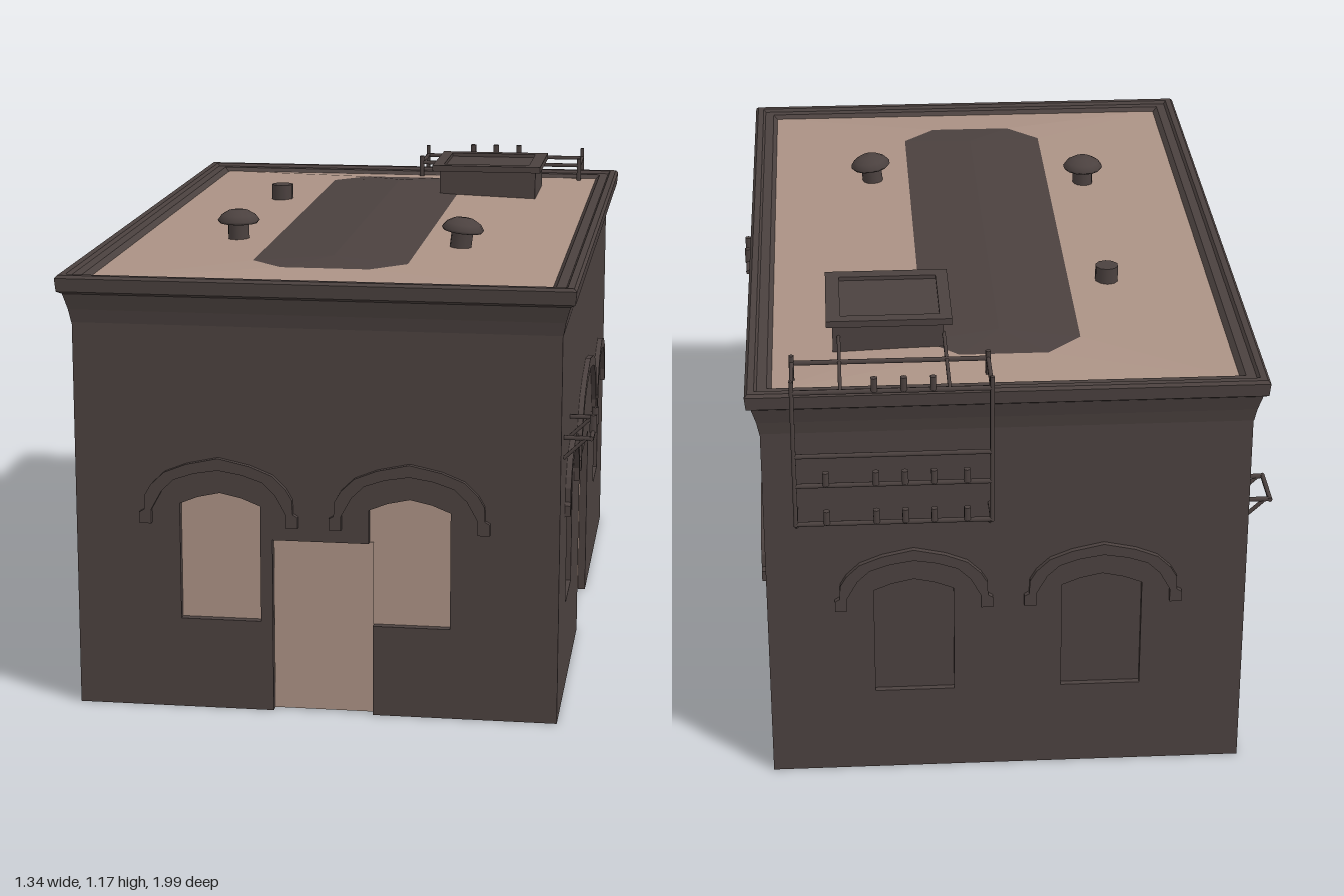
import * as THREE from 'three';

const dark = new THREE.MeshStandardMaterial({ color: 0x4b413f });
dark.name = 'darkMasonry';
const tan = new THREE.MeshStandardMaterial({ color: 0xab9285 });
tan.name = 'tanPlaster';

const X0 = -0.6, X1 = 0.595, Z0 = -0.91, Z1 = 0.96, T = 0.02, WALL_H = 0.98;

function add(parent, name, geo, mat, x = 0, y = 0, z = 0) {
  const m = new THREE.Mesh(geo, mat);
  m.name = name;
  m.position.set(x, y, z);
  parent.add(m);
  return m;
}

function box(parent, name, mat, x0, x1, y0, y1, z0, z1) {
  return add(parent, name, new THREE.BoxGeometry(x1 - x0, y1 - y0, z1 - z0), mat,
    (x0 + x1) / 2, (y0 + y1) / 2, (z0 + z1) / 2);
}

// Thin rod between two points
function rod(parent, name, a, b, r = 0.006) {
  const p = new THREE.Vector3(...a), q = new THREE.Vector3(...b), d = q.clone().sub(p);
  const m = add(parent, name, new THREE.CylinderGeometry(r, r, d.length(), 6), dark);
  m.position.copy(p).add(q).multiplyScalar(0.5);
  m.quaternion.setFromUnitVectors(new THREE.Vector3(0, 1, 0), d.normalize());
}

// Faceted skin joining closed rings of points
function loft(rings) {
  const pos = [];
  for (let i = 0; i + 1 < rings.length; i++) {
    const a = rings[i], b = rings[i + 1], n = a.length;
    for (let j = 0; j < n; j++) {
      const k = (j + 1) % n;
      pos.push(...a[j], ...a[k], ...b[k], ...a[j], ...b[k], ...b[j]);
    }
  }
  const g = new THREE.BufferGeometry();
  g.setAttribute('position', new THREE.Float32BufferAttribute(pos, 3));
  g.computeVertexNormals();
  return g;
}

// Rectangle with clipped corners; clip 0 gives a plain rectangle
const ring = (x0, x1, z0, z1, y, c = 0) => [
  [x1 - c, y, z1], [x1, y, z1 - c], [x1, y, z0 + c], [x1 - c, y, z0],
  [x0 + c, y, z0], [x0, y, z0 + c], [x0, y, z1 - c], [x0 + c, y, z1]];

const toShape = pts => new THREE.Shape(pts.map(p => new THREE.Vector2(...p)));
const extrude = (shape, depth) => new THREE.ExtrudeGeometry(shape, { depth, bevelEnabled: false });

const windowPoints = (x, w) => [[x - w, 0.23], [x + w, 0.23], [x + w, 0.525],
  [x + w * 0.55, 0.543], [x, 0.555], [x - w * 0.55, 0.543], [x - w, 0.525]];

// Hood moulding over an opening, with small outward feet
function archShape(w, base, top) {
  const h = top - base, t = 0.03;
  const curve = [[0.93, 0.42], [0.85, 0.58], [0.68, 0.77], [0.4, 0.9]];
  const outer = [[w, base], [w, base + 0.028], [w - 0.012, base + 0.035],
    ...curve.map(([u, v]) => [u * w, base + v * h])];
  const inner = [[w - 0.03, base], [w - 0.03, base + 0.035],
    ...curve.map(([u, v]) => [u * w - t * (0.4 + 0.6 * u), base + v * h - t * (1 - 0.6 * u)])];
  const flip = p => [-p[0], p[1]];
  return toShape([...outer, [0, top], ...outer.map(flip).reverse(),
    ...inner.map(flip), [0, top - t], ...inner.slice().reverse()]);
}

// One wall: local x runs along it, local z points outwards
function wall(parent, o) {
  const g = new THREE.Group();
  g.name = o.name;
  g.position.set(...o.at);
  g.rotation.y = o.turn;
  const s = toShape([[o.x0, 0], ...(o.notch || []), [o.x1, 0], [o.x1, WALL_H], [o.x0, WALL_H]]);
  for (const [x, w] of o.holes) s.holes.push(new THREE.Path(windowPoints(x, w).map(p => new THREE.Vector2(...p))));
  add(g, 'wallPanel', extrude(s, T), dark, 0, 0, -T);
  for (const [x, w, base, top] of o.arches) add(g, 'archMoulding', extrude(archShape(w, base, top), 0.014), dark, x);
  if (o.blind) for (const [x, w] of o.holes)
    add(g, 'blindWindow', extrude(toShape(windowPoints(x, w)), 0.005), dark, 0, 0, -T);
  parent.add(g);
  return g;
}

function vent(parent, x, z, tilt) {
  const g = new THREE.Group();
  g.name = 'roofVent';
  g.position.set(x, 1.08, z);
  g.rotation.z = tilt;
  const profile = [[0, 0.045], [0.05, 0.045], [0.055, 0.052], [0.045, 0.066], [0.026, 0.077], [0, 0.08]];
  add(g, 'ventStem', new THREE.CylinderGeometry(0.028, 0.028, 0.06, 12), dark, 0, 0.022, 0);
  add(g, 'ventCap', new THREE.LatheGeometry(profile.map(p => new THREE.Vector2(...p)), 14), dark);
  parent.add(g);
}

export function createModel() {
  const model = new THREE.Group();
  model.name = 'building';

  // Plaster core, seen through the openings and from below
  box(model, 'core', tan, X0 + T, X1 - T, 0.003, 1.05, Z0 + T, Z1 - T);

  // Front and back walls
  const endArches = s => [-0.242, 0.23].map(x => [s * x, 0.197, 0.475, 0.645]);
  const front = wall(model, {
    name: 'frontWall', at: [0, 0, Z1], turn: 0, x0: X0, x1: X1, holes: [[-0.24, 0.1]], arches: endArches(1),
    notch: [[-0.11, 0], [-0.11, 0.44], [0.13, 0.44], [0.13, 0.525], [0.175, 0.543], [0.23, 0.555],
      [0.285, 0.543], [0.33, 0.525], [0.33, 0.23], [0.14, 0.23], [0.14, 0]],
  });
  box(front, 'frontDoor', tan, -0.109, 0.14, 0.003, 0.44, -T, -T + 0.004);
  wall(model, {
    name: 'backWall', at: [0, 0, Z0], turn: Math.PI, x0: -X1, x1: -X0,
    holes: [[0.24, 0.1], [-0.23, 0.1]], arches: endArches(-1), blind: true,
  });

  // Long side walls
  for (const [name, x, s] of [['leftWall', X1, -1], ['rightWall', X0, 1]]) {
    const ends = [s * (Z0 + T), s * (Z1 - T)].sort((a, b) => a - b);
    const door = [s * -0.155, s * 0.21].sort((a, b) => a - b);
    wall(model, {
      name, at: [x, 0, 0], turn: -s * Math.PI / 2, x0: ends[0], x1: ends[1],
      notch: [[door[0], 0], [door[0], 0.465], [door[1], 0.465], [door[1], 0]],
      holes: [[s * 0.607, 0.098], [s * -0.565, 0.095]],
      arches: [[s * 0.605, 0.188, 0.48, 0.645], [s * -0.575, 0.197, 0.48, 0.645], [s * 0.022, 0.35, 0.488, 0.715]],
      blind: s > 0,
    });
  }

  // Flared cornice with a parapet rim
  const profile = [[0.001, 0.972], [0.007, 1.005], [0.018, 1.045], [0.03, 1.052], [0.033, 1.085],
    [0.026, 1.092], [0.01, 1.092], [0.004, 1.084], [-0.02, 1.084], [-0.035, 1.07]];
  add(model, 'cornice', loft(profile.map(([o, y]) => ring(X0 - o, X1 + o, Z0 - o, Z1 + o, y))), dark);

  // Shallow roof with a dark ridge patch
  const patch = ring(-0.2, 0.19, -0.74, 0.78, 1.087, 0.085);
  add(model, 'roof', loft([ring(-0.567, 0.579, -0.888, 0.94, 1.073), patch]), tan);
  add(model, 'roofPatch', loft([patch, ring(0, 0, -0.62, 0.66, 1.098)]), dark);

  // Vents and stub pipe
  vent(model, -0.3, 0.36, 0);
  vent(model, 0.29, 0.41, -0.12);
  add(model, 'stubPipe', new THREE.CylinderGeometry(0.03, 0.03, 0.05, 10), dark, -0.3, 1.1, -0.31);

  // Roof hatch with a framed lid
  box(model, 'hatchBase', dark, 0.14, 0.415, 1.06, 1.157, -0.69, -0.43);
  const frame = toShape([[0.12, 0.415], [0.43, 0.415], [0.43, 0.712], [0.12, 0.712]]);
  frame.holes.push(new THREE.Path([[0.15, 0.45], [0.15, 0.68], [0.395, 0.68], [0.395, 0.45]].map(p => new THREE.Vector2(...p))));
  add(model, 'hatchFrame', extrude(frame, 0.017), dark, 0, 1.155, 0).rotation.x = -Math.PI / 2;
  box(model, 'hatchPanel', dark, 0.15, 0.395, 1.155, 1.162, -0.68, -0.45);

  // Rear service frame hung over the back edge
  const rack = new THREE.Group();
  rack.name = 'rearRack';
  model.add(rack);
  const L = 0.04, R = 0.515, B = -0.99;
  for (const x of [L, R]) {
    rod(rack, 'rackPost', [x, 0.76, B], [x, 1.15, B]);
    rod(rack, 'rackTopArm', [x, 1.12, B], [x, 1.12, -0.83]);
    rod(rack, 'rackFoot', [x, 1.07, -0.83], [x, 1.14, -0.83], 0.007);
    rod(rack, 'rackLowerArm', [x, 0.765, B], [x, 0.765, Z0]);
    rod(rack, 'rackBrace', [x, 0.76, -0.975], [x, 0.715, Z0]);
  }
  for (const x of [0.14, 0.4]) rod(rack, 'rackTie', [x, 1.12, B], [x, 1.12, -0.68], 0.005);
  rod(rack, 'rackInnerRail', [L, 1.12, -0.83], [R, 1.12, -0.83]);
  for (const y of [1.12, 0.95, 0.87, 0.765]) rod(rack, 'rackRail', [L, y, B], [R, y, B]);
  for (const y of [1.12, 0.87, 0.765])
    for (const x of [0.1, 0.18, 0.25, 0.32, 0.44])
      if (y < 1 || (x > 0.15 && x < 0.4)) rod(rack, 'rackInsulator', [x, y, B], [x, y + 0.035, B], 0.009);

  // Side wall brackets
  for (const [name, s, wallX, z0, z1, pegs] of [
    ['leftBracket', 1, X1, 0.65, 0.87, [0.72, 0.805]], ['rightBracket', -1, X0, -0.82, -0.7, []]]) {
    const g = new THREE.Group();
    g.name = name;
    model.add(g);
    const out = wallX + s * 0.067, y = 0.702;
    rod(g, 'bracketRail', [out, y, z0 - 0.006], [out, y, z1 + 0.006]);
    for (const z of [z0, z1]) {
      rod(g, 'bracketArm', [wallX, y, z], [out, y, z]);
      rod(g, 'bracketBrace', [wallX, 0.65, z], [wallX + s * 0.055, y, z], 0.005);
    }
    for (const z of pegs) rod(g, 'bracketPeg', [out, y, z], [out, y + 0.043, z], 0.01);
  }
  return model;
}
